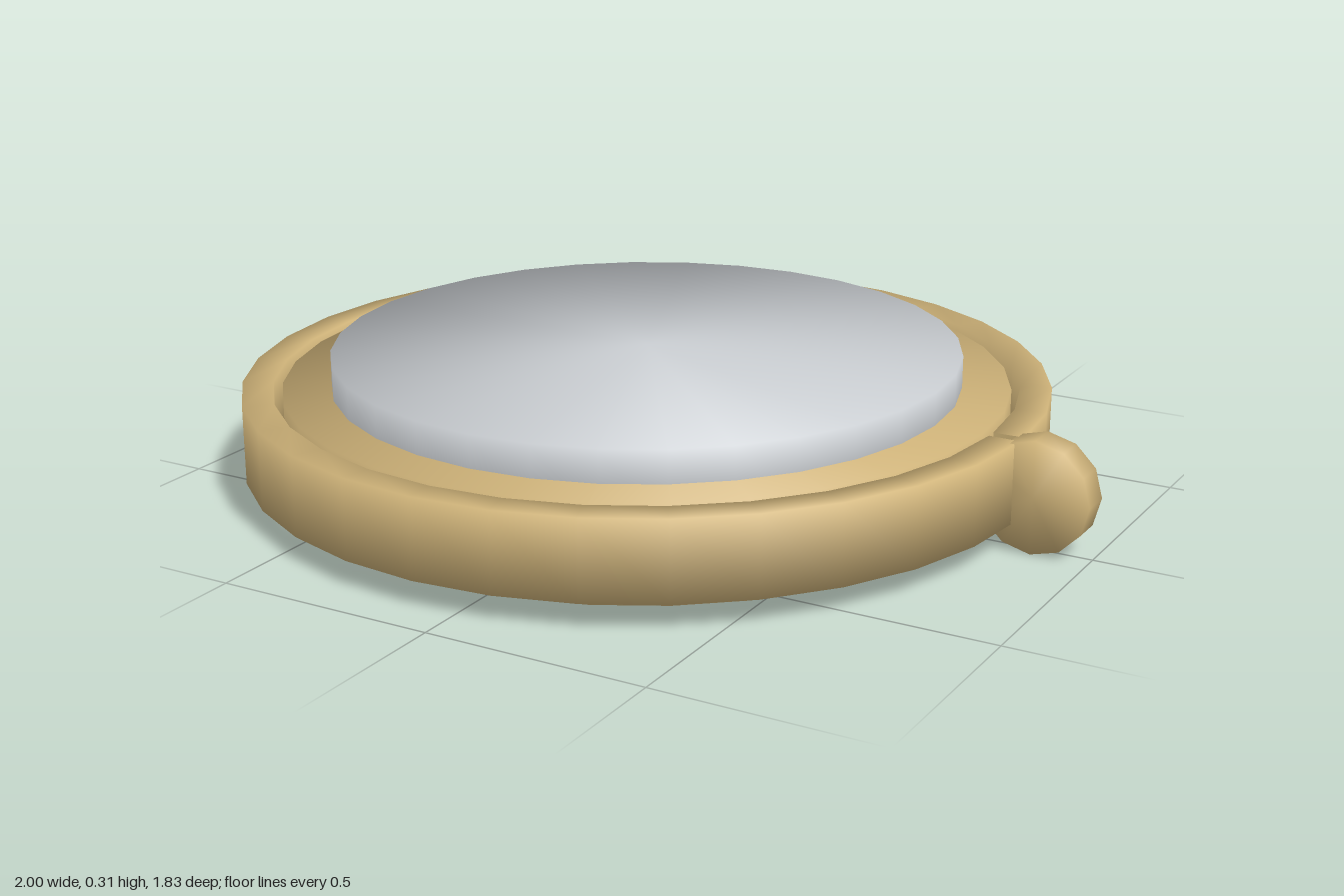
import * as THREE from 'three';

const CENTRE_X = -0.085;
const SIDES = 32;

// Revolve a profile and give each profile point its own soft normal [radial, up]
function turned(points, normals, sides = SIDES, start = 0, sweep = Math.PI * 2) {
  const geo = new THREE.LatheGeometry(points.map(p => new THREE.Vector2(...p)), sides, start, sweep);
  const n = geo.attributes.normal;
  for (let i = 0; i <= sides; i++) {
    const phi = start + (i / sides) * sweep;
    normals.forEach(([r, u], j) =>
      n.setXYZ(i * points.length + j, r * Math.sin(phi), u, r * Math.cos(phi)));
  }
  return geo;
}

// Solid disc with softened rims
function softDisc(radius, y0, y1, sides) {
  return turned(
    [[0, y0], [radius, y0], [radius, y1], [0, y1]],
    [[0, -1], [0.82, -0.57], [0.82, 0.57], [0, 1]], sides);
}

export function createModel() {
  const gold = new THREE.MeshStandardMaterial({ color: 0xd0b47a });
  gold.name = 'gold';
  const silver = new THREE.MeshStandardMaterial({ color: 0xccd0d4 });
  silver.name = 'silver';

  const model = new THREE.Group();
  model.name = 'roundCase';
  const add = (name, geo, mat, x = 0, y = 0, z = 0, parent = model) => {
    const mesh = new THREE.Mesh(geo, mat);
    mesh.name = name;
    mesh.position.set(x, y, z);
    parent.add(mesh);
    return mesh;
  };

  // Case body and the raised face
  add('caseBody', softDisc(0.825, 0.02, 0.236), gold, CENTRE_X);
  add('face', softDisc(0.715, 0.15, 0.31), silver, CENTRE_X);

  // Outer band: a square-section ring, open by a narrow slit at the clasp
  const inner = 0.845, outer = 0.915, low = 0.06, high = 0.24, gap = 0.014;
  const k = Math.SQRT1_2;
  const band = new THREE.Group();
  band.name = 'outerBand';
  band.position.x = CENTRE_X;
  model.add(band);
  add('bandRing', turned(
    [[inner, low], [outer, low], [outer, high], [inner, high], [inner, low]],
    [[-k, -k], [k, -k], [k, k], [-k, k], [-k, -k]],
    SIDES, Math.PI / 2 + gap, Math.PI * 2 - 2 * gap), gold, 0, 0, 0, band);

  // Closed ends of the band
  for (const side of [-1, 1]) {
    const end = add('bandEnd', new THREE.PlaneGeometry(outer - inner, high - low), gold,
      (inner + outer) / 2, (low + high) / 2, side * gap * 0.88, band);
    if (side > 0) end.rotation.y = Math.PI;
  }

  // Clasp: a small upright disc
  const clasp = add('clasp', softDisc(0.127, -0.036, 0.036, 12), gold, 0.873, 0.128, 0);
  clasp.rotation.x = Math.PI / 2;

  return model;
}
